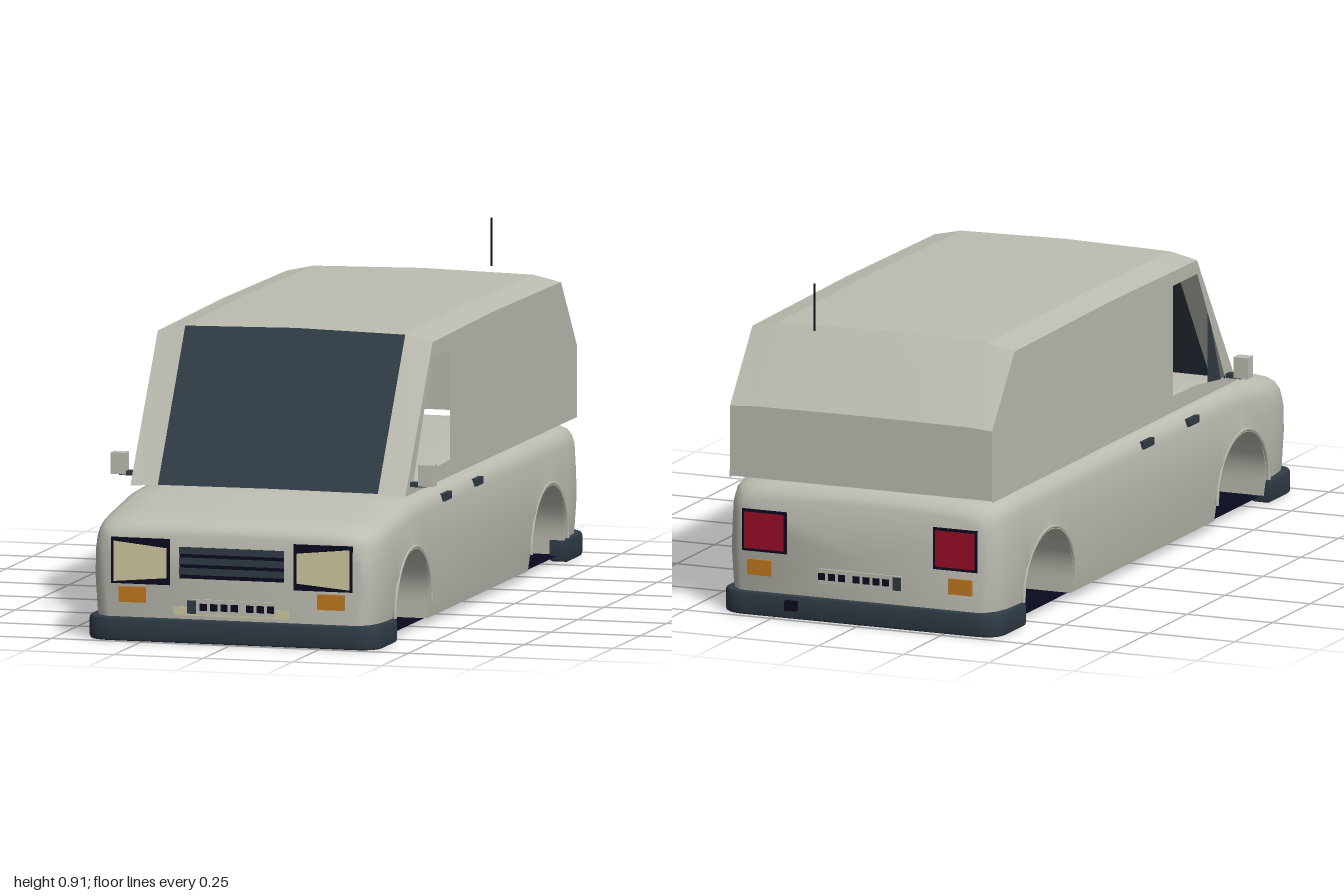
import * as THREE from 'three';
import { toCreasedNormals } from 'three/addons/utils/BufferGeometryUtils.js';

const mat = (name, color, side = THREE.FrontSide) =>
  Object.assign(new THREE.MeshStandardMaterial({ color, side }), { name });

export function createModel() {
  const van = new THREE.Group();
  van.name = 'van';
  const paint = mat('grey paint', 0xbdbdb3, THREE.DoubleSide);
  const slate = mat('slate trim and glass', 0x303b45, THREE.DoubleSide);
  const navy = mat('dark navy', 0x0a0a20, THREE.DoubleSide);
  const cream = mat('cream lens', 0xd3caa4);
  const orange = mat('orange lens', 0xc27a20);
  const red = mat('red lens', 0x9c0c26);

  const add = (name, geo, material, x = 0, y = 0, z = 0) => {
    const m = new THREE.Mesh(geo, material);
    m.name = name;
    m.position.set(x, y, z);
    van.add(m);
    return m;
  };
  const box = (name, material, x0, x1, y0, y1, z0, z1) =>
    add(name, new THREE.BoxGeometry(Math.abs(x1 - x0), y1 - y0, Math.abs(z1 - z0)), material,
      (x0 + x1) / 2, (y0 + y1) / 2, (z0 + z1) / 2);
  const fromTriangles = (pos, crease) => {
    const g = new THREE.BufferGeometry();
    g.setAttribute('position', new THREE.Float32BufferAttribute(pos, 3));
    g.computeVertexNormals();
    return toCreasedNormals(g, crease);
  };

  // Lower body: cross-sections from nose to tail, bottom edge raised over the wheels
  const keys = [ // z, half width, top height
    [0.98, 0.352, 0.29], [0.974, 0.368, 0.305], [0.957, 0.386, 0.32], [0.92, 0.4, 0.333],
    [0.86, 0.407, 0.343], [0.64, 0.41, 0.37], [0.5, 0.41, 0.375], [-0.82, 0.41, 0.375],
    [-0.9, 0.405, 0.37], [-0.94, 0.392, 0.362], [-0.964, 0.372, 0.345], [-0.974, 0.355, 0.325]];
  const at = (z) => {
    let k = 0;
    while (k < keys.length - 2 && keys[k + 1][0] > z) k++;
    const [a, b] = [keys[k], keys[k + 1]], t = (z - a[0]) / (b[0] - a[0]);
    return [1, 2].map((i) => a[i] + (b[i] - a[i]) * t);
  };
  const sill = 0.02, archY = 0.065, archR = 0.165, arches = [0.64, -0.638];
  const stations = keys.map((k) => [k[0], sill])
    .filter(([z]) => arches.every((c) => Math.abs(z - c) > archR));
  for (const c of arches) {
    stations.push([c + archR, sill]);
    for (let i = 0; i <= 20; i++) {
      const a = (Math.PI * i) / 20;
      stations.push([c + archR * Math.cos(a), archY + archR * Math.sin(a)]);
    }
    stations.push([c - archR, sill]);
  }
  stations.sort((a, b) => b[0] - a[0]);
  const rings = stations.map(([z, low]) => {
    const [w, top] = at(z);
    const half = [[0.965, sill], [0.985, 0.08], [1, 0.17], [0.995, 0.24], [0.985, top - 0.06],
      [0.968, top - 0.038], [0.935, top - 0.022], [0.87, top - 0.012], [0.72, top - 0.006], [0.4, top - 0.001]]
      .map(([f, y]) => [f * w, Math.max(y, low), z]);
    return [...half, [0, top, z], ...half.slice().reverse().map(([x, y]) => [-x, y, z])];
  });
  const pos = [], n = rings[0].length;
  const tri = (...p) => pos.push(...p.flat());
  for (let s = 0; s < rings.length - 1; s++)
    for (let i = 0; i < n; i++) {
      const j = (i + 1) % n, [r, q] = [rings[s], rings[s + 1]];
      tri(r[i], q[i], r[j]);
      tri(r[j], q[i], q[j]);
    }
  const [nose, tail] = [rings[0], rings[rings.length - 1]];
  for (let i = 0; i < n; i++) {
    const j = (i + 1) % n;
    tri([0, 0.18, nose[0][2]], nose[i], nose[j]);
    tri([0, 0.18, tail[0][2]], tail[j], tail[i]);
  }
  add('lowerBody', fromTriangles(pos, 0.6), paint);

  // Flat underside
  add('floorPan', new THREE.PlaneGeometry(0.76, 1.88).rotateX(Math.PI / 2), navy, 0, 0.016, 0);

  // Upper shell: strips across the width following the side outline
  const strip = (name, material, xs, outline) => {
    const p = [];
    const drop = (x) => (Math.abs(x) > 0.35 ? -0.017 : Math.abs(x) > 0.2 ? 0 : 0.006);
    for (let s = 0; s < outline.length - 1; s++)
      for (let i = 0; i < xs.length - 1; i++) {
        const v = (x, [z, y, k]) => [x, y + drop(x) * k, z];
        const a = v(xs[i], outline[s]), b = v(xs[i + 1], outline[s]);
        const c = v(xs[i], outline[s + 1]), d = v(xs[i + 1], outline[s + 1]);
        p.push(...a, ...b, ...c, ...b, ...d, ...c);
      }
    add(name, fromTriangles(p, 0.15), material);
  };
  const screen = [[0.643, 0.376, 0.3], [0.385, 0.773, 1]];
  strip('windscreen', slate, [-0.308, 0, 0.308], screen);
  strip('frontPillarRight', paint, [-0.385, -0.308], screen);
  strip('frontPillarLeft', paint, [0.308, 0.385], screen);
  const across = [-0.385, -0.308, 0, 0.308, 0.385];
  strip('roof', paint, across, [[0.385, 0.773, 1], [-0.2, 0.779, 1], [-0.82, 0.773, 1]]);
  strip('rearPanel', paint, across, [[-0.82, 0.773, 1], [-0.968, 0.572, 0.3], [-0.97, 0.375, 0]]);

  // Side walls with open door windows
  const shape = (pts) => new THREE.Shape(pts.map(([z, y]) => new THREE.Vector2(-z, y)));
  const wall = shape([[0.643, 0.371], [0.385, 0.756], [-0.2, 0.762], [-0.82, 0.756], [-0.968, 0.567], [-0.97, 0.37]]);
  wall.holes.push(shape([[0.225, 0.415], [0.225, 0.718], [0.387, 0.718], [0.572, 0.392], [0.38, 0.413]]));
  const wallGeo = new THREE.ShapeGeometry(wall).rotateY(Math.PI / 2);
  const vent = new THREE.ShapeGeometry(shape([[0.467, 0.392], [0.467, 0.608], [0.555, 0.392]])).rotateY(Math.PI / 2);
  add('ventWindow', vent, slate, -0.38, 0, 0);

  for (const s of [1, -1]) {
    const side = s > 0 ? 'Left' : 'Right';
    add('sideWall' + side, wallGeo, paint, s * 0.385, 0, 0);
    // Mirrors, door handles and arch lips
    box('mirror' + side, paint, s * 0.41, s * 0.452, 0.395, 0.453, 0.57, 0.605);
    box('mirrorArm' + side, slate, s * 0.38, s * 0.43, 0.392, 0.404, 0.575, 0.6);
    for (const z of [0.315, 0.018])
      box('doorHandle' + side, slate, s * 0.39, s * 0.408, 0.32, 0.34, z - 0.034, z + 0.034);
    for (const z of arches)
      add('archLip' + side, new THREE.TorusGeometry(0.171, 0.006, 6, 24, Math.PI).rotateY(Math.PI / 2),
        paint, s * 0.406, archY, z);

    // Headlights
    box('headlightFrame' + side, navy, s * 0.173, s * 0.338, 0.155, 0.28, 0.976, 0.983);
    const x = (v) => s * v;
    const lens = new THREE.Shape([[0.183, 0.174], [0.33, 0.161], [0.33, 0.27], [0.183, 0.255]]
      .map(([a, y]) => new THREE.Vector2(x(a), y)));
    add('headlight' + side, new THREE.ExtrudeGeometry(lens, { depth: 0.003, bevelEnabled: false }), cream, 0, 0, 0.983);
    box('frontIndicator' + side, orange, s * 0.24, s * 0.316, 0.105, 0.147, 0.977, 0.985);
    // Tail lights
    box('tailLightFrame' + side, navy, s * 0.215, s * 0.345, 0.175, 0.29, -0.978, -0.971);
    box('tailLight' + side, red, s * 0.223, s * 0.337, 0.183, 0.282, -0.982, -0.976);
    box('rearIndicator' + side, orange, s * 0.26, s * 0.33, 0.11, 0.153, -0.98, -0.972);
  }

  // Grille with slats
  box('grille', navy, -0.146, 0.146, 0.175, 0.26, 0.976, 0.982);
  for (const y of [0.251, 0.223, 0.195])
    box('grilleSlat', slate, -0.146, 0.146, y - 0.009, y + 0.009, 0.981, 0.986);

  // Number plates with plain blocks
  box('plateLamp', cream, -0.163, 0.16, 0.075, 0.098, 0.976, 0.983);
  for (const [f, lift] of [[0.98, 0], [-0.974, 0.025]]) {
    const d = Math.sign(f);
    box('plate', paint, -0.123, 0.121, 0.08 + lift, 0.12 + lift, f - d * 0.002, f + d * 0.006);
    box('plateEnd', slate, -0.123, -0.099, 0.081 + lift, 0.117 + lift, f, f + d * 0.009);
    for (const cx of [-0.078, -0.049, -0.02, 0.009, 0.052, 0.081, 0.11])
      box('plateBlock', navy, cx - 0.01, cx + 0.01, 0.09 + lift, 0.109 + lift, f, f + d * 0.008);
  }

  // Wraparound bumpers
  const u = new THREE.Shape();
  u.moveTo(-0.404, 0.814);
  u.lineTo(-0.404, 0.925);
  u.quadraticCurveTo(-0.404, 0.984, -0.335, 0.984);
  u.lineTo(0.335, 0.984);
  u.quadraticCurveTo(0.404, 0.984, 0.404, 0.925);
  for (const [a, b] of [[0.404, 0.814], [0.365, 0.814], [0.365, 0.92], [-0.365, 0.92], [-0.365, 0.814]]) u.lineTo(a, b);
  const bumper = toCreasedNormals(new THREE.ExtrudeGeometry(u, {
    depth: 0.045, bevelThickness: 0.01, bevelSize: 0.007, bevelSegments: 2, curveSegments: 8,
  }).rotateX(Math.PI / 2), 0.5);
  add('frontBumper', bumper, slate, 0, 0.055, 0);
  add('rearBumper', bumper, slate, 0, 0.055, 0.005).rotation.y = Math.PI;
  box('rearBumperBlock', navy, 0.178, 0.212, 0.025, 0.052, -1, -0.975);

  // Aerial
  add('aerial', new THREE.CylinderGeometry(0.0025, 0.0025, 0.13, 6), navy, 0.165, 0.845, -0.905);
  return van;
}
